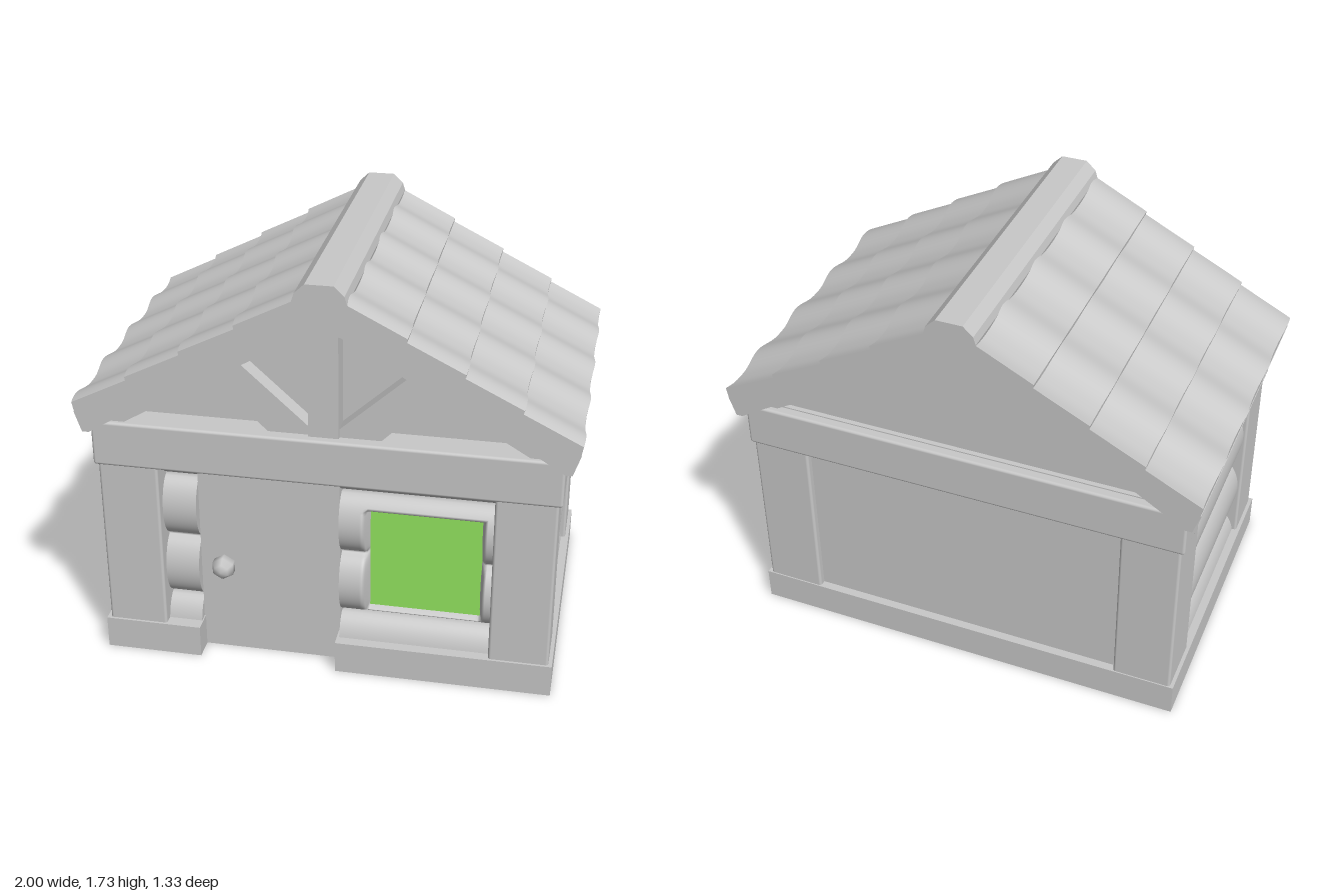
import * as THREE from 'three';
import { RoundedBoxGeometry } from 'three/addons/geometries/RoundedBoxGeometry.js';

const stone = new THREE.MeshStandardMaterial({ color: 0xc8c8c8, side: THREE.DoubleSide });
stone.name = 'plain grey';
const glass = new THREE.MeshStandardMaterial({ color: 0x94e660 });
glass.name = 'window green';

export function createModel() {
  const model = new THREE.Group();
  model.name = 'logCabin';

  const add = (name, geometry, material = stone) => {
    const mesh = new THREE.Mesh(geometry, material);
    mesh.name = name;
    model.add(mesh);
    return mesh;
  };

  // Box given by its limits
  const block = (name, x0, x1, y0, y1, z0, z1, material = stone) => {
    const g = new THREE.BoxGeometry(x1 - x0, y1 - y0, z1 - z0);
    g.translate((x0 + x1) / 2, (y0 + y1) / 2, (z0 + z1) / 2);
    return add(name, g, material);
  };

  // Same, without the downward face
  const openBlock = (...limits) => {
    const g = block(...limits).geometry;
    g.setIndex(Array.from(g.index.array).filter((_, i) => i < 18 || i > 23));
    g.clearGroups();
  };

  // Timber with softened edges
  const timber = (name, x0, x1, y0, y1, z0, z1) => {
    const g = new RoundedBoxGeometry(x1 - x0, y1 - y0, z1 - z0, 2, 0.012);
    g.translate((x0 + x1) / 2, (y0 + y1) / 2, (z0 + z1) / 2);
    return add(name, g);
  };

  // Outline in x and y, extruded between two depths
  const prism = (name, points, z0, z1) => {
    const shape = new THREE.Shape(points.map(([x, y]) => new THREE.Vector2(x, y)));
    const g = new THREE.ExtrudeGeometry(shape, { depth: z1 - z0, bevelEnabled: false });
    g.translate(0, 0, z0);
    return add(name, g);
  };
  const mirrored = (half) => [...half, ...half.slice().reverse().map(([x, y]) => [-x, y])];

  // Stacked round logs: a box whose front face bulges once per log
  const logWall = (name, width, cx, depth, pitch, keep = () => 1) => {
    const y0 = 0.14, y1 = 0.88;
    const g = new THREE.BoxGeometry(width, y1 - y0, 0.06, 60, 90, 1);
    g.translate(cx, (y0 + y1) / 2, -0.03);
    const p = g.attributes.position;
    for (let i = 0; i < p.count; i++) {
      if (p.getZ(i) < -0.01) continue;
      const y = p.getY(i);
      const t = (y - 0.24) / pitch;
      const q = (t - Math.floor(t)) * 2 - 1;
      p.setZ(i, depth * Math.sqrt(Math.max(0, 1 - q * q)) * keep(p.getX(i), y));
    }
    g.computeVertexNormals();
    return add(name, g);
  };

  // Inner walls and floor
  openBlock('innerWalls', -0.82, 0.82, 0.02, 1.08, -0.595, 0.5);
  block('floor', -0.89, 0.89, 0, 0.02, -0.44, 0.49);

  // Plinth with a gap for the door
  openBlock('plinthFrontRight', -0.935, -0.53, 0, 0.14, 0.4, 0.64);
  openBlock('plinthFrontLeft', 0.045, 0.935, 0, 0.14, 0.4, 0.64);
  openBlock('plinthBack', -0.935, 0.935, 0, 0.14, -0.63, -0.4);

  for (const s of [-1, 1]) {
    const span = (a, b) => (s > 0 ? [a, b] : [-b, -a]);
    openBlock('plinthSide', ...span(0.78, 0.935), 0, 0.14, -0.63, 0.64);
    timber('cornerPostFront', ...span(0.675, 0.92), 0.125, 0.91, 0.4, 0.63);
    timber('cornerPostBack', ...span(0.675, 0.92), 0.125, 0.91, -0.625, -0.375);
    block('sideBeam', ...span(0.78, 0.92), 0.88, 1.05, -0.38, 0.4);
    const logs = logWall('sideLogs', 0.775, 0, 0.085, 0.289);
    logs.rotation.y = (s * Math.PI) / 2;
    logs.position.set(s * 0.82, 0, 0.0125);
  }
  timber('frontBeam', -0.935, 0.935, 0.88, 1.075, 0.39, 0.645);
  timber('backBeam', -0.935, 0.935, 0.88, 1.075, -0.635, -0.37);

  // Front logs, cut back to the wall at the window
  const win = { x0: 0.17, x1: 0.625, y0: 0.265, y1: 0.735 };
  const aroundWindow = (x, y) => {
    const d = Math.max(win.x0 - x, x - win.x1, win.y0 - y, y - win.y1);
    return THREE.MathUtils.clamp(d / 0.012, 0, 1);
  };
  logWall('frontLogsRight', 0.15, -0.61, 0.09, 0.283).position.z = 0.5;
  logWall('frontLogsLeft', 0.625, 0.3675, 0.1, 0.283, aroundWindow).position.z = 0.5;
  block('windowPane', win.x0, win.x1, win.y0, win.y1, 0.504, 0.512, glass);

  // Door and knob
  block('door', -0.535, 0.05, 0, 0.88, 0.49, 0.545);
  const knob = add('doorKnob', new THREE.SphereGeometry(0.052, 6, 5));
  knob.geometry.rotateX(Math.PI / 2).rotateZ(Math.PI / 6);
  knob.position.set(-0.435, 0.41, 0.57);

  // Gable panel, rafters, king post and braces
  prism('gablePanel', mirrored([[0.9, 1.05], [0.08, 1.56]]), -0.575, 0.52);
  const rafterRing = [
    [0.8, 1.075], [0.9, 1.07], [0.08, 1.575], [-0.08, 1.575],
    [-0.9, 1.07], [-0.8, 1.075], [-0.07, 1.51], [0.07, 1.51],
  ];
  prism('frontRafters', rafterRing, 0.5, 0.625);
  prism('backRafters', rafterRing, -0.61, -0.55);
  block('kingPost', -0.06, 0.06, 1.07, 1.515, 0.5, 0.61);
  for (const s of [-1, 1]) {
    const brace = [[0.06, 1.07], [0.22, 1.07], [0.44, 1.29], [0.33, 1.355], [0.06, 1.11]];
    prism('gableBrace', brace.map(([x, y]) => [s * x, y]), 0.5, 0.595);
  }

  // Roof body
  const slope = (x) => 1.722 - 0.572 * x;
  const zEnd = 0.665;
  prism('roofBody', mirrored([
    [0.08, 1.565], [0.935, 1.037], [0.962, 1.037], [0.99, 1.122], [0.08, slope(0.08) - 0.03],
  ]), -zEnd, zEnd);

  // Wavy overlapping tile rows on both slopes, each tucked under the one above
  const rows = [0.08, 0.335, 0.555, 0.775, 1.0];
  for (const s of [-1, 1]) {
    for (let r = 0; r < 4; r++) {
      const g = new THREE.BoxGeometry(1, 1, zEnd * 2, 1, 1, 80);
      const p = g.attributes.position;
      const start = rows[r] - 0.03;
      for (let i = 0; i < p.count; i++) {
        const t = 0.5 + s * p.getX(i);
        const z = p.getZ(i);
        const top = p.getY(i) > 0;
        const crest = (1 + Math.cos((2 * Math.PI * (z - 0.27)) / 0.333)) / 2;
        const wave = 0.026 * Math.pow(crest, 1.4) - 0.011;
        const x = start + (rows[r + 1] - start) * t + (top ? 0.4 * t * (wave - 0.015) : -0.012 * t);
        const y = slope(x) - 0.012 + 0.018 * t + (top ? wave : -0.04);
        p.setXYZ(i, s * x, y, z);
      }
      g.computeVertexNormals();
      add('tileRow', g);
    }
  }

  // Ridge cap
  prism('ridgeCap', mirrored([[0.1, 1.63], [0.105, 1.66], [0.095, 1.692], [0.055, 1.73]]), -zEnd, zEnd);

  return model;
}
